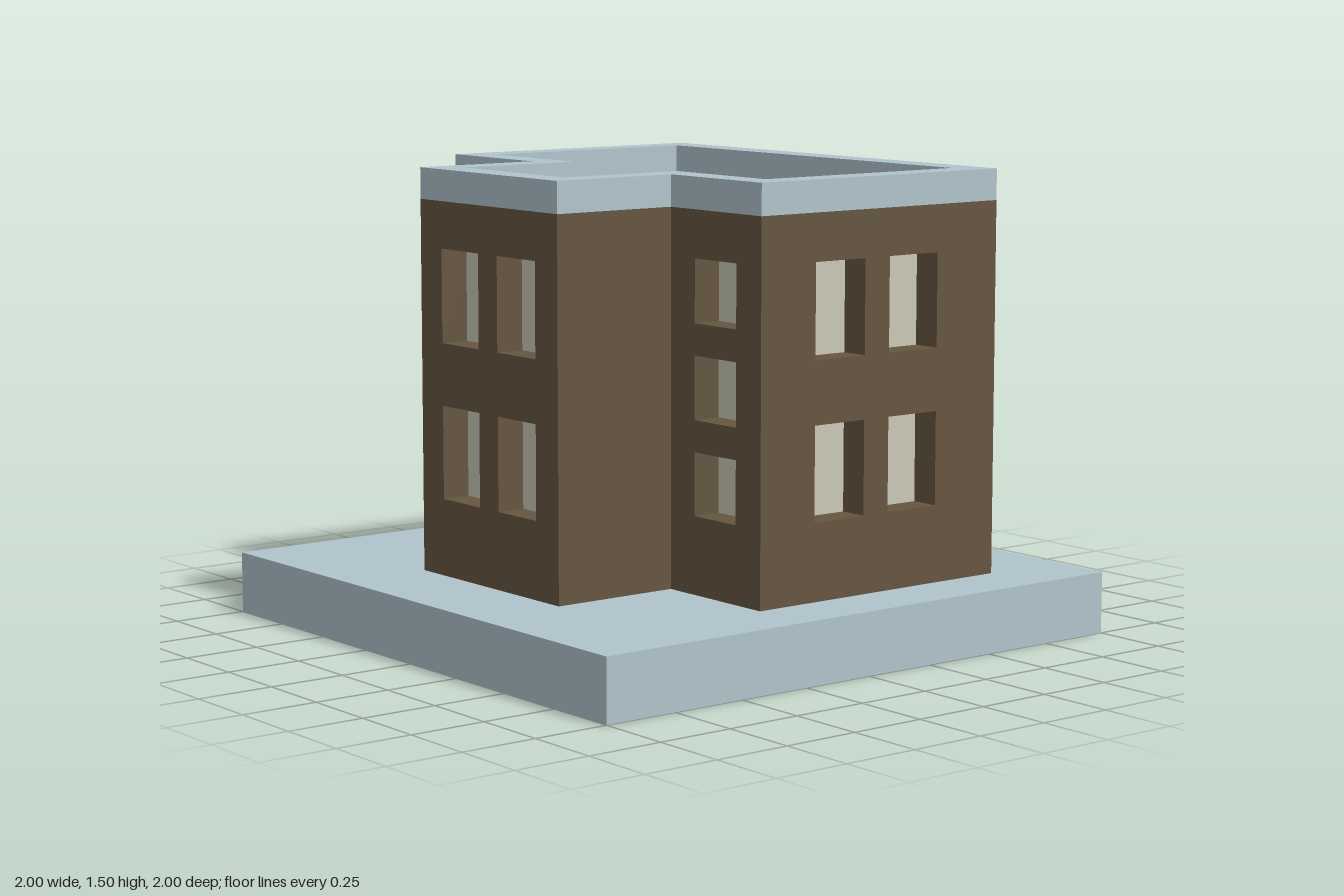
import * as THREE from 'three';

const material = (name, color, side = THREE.FrontSide) => {
  const m = new THREE.MeshStandardMaterial({ color, side });
  m.name = name;
  return m;
};

const WALL = 0.1, FLOOR = 0.202, EAVES = 1.4, TOP = 1.5;

// T-shaped plan, moved inwards by inset; shape y is -z
function planPoints(inset) {
  const w = 0.8 - inset, back = 0.7 - inset, notch = -0.265 + inset;
  const bx = 0.365 - inset, front = -0.7 + inset;
  return [[-w, back], [-w, notch], [-bx, notch], [-bx, front], [bx, front], [bx, notch], [w, notch], [w, back]]
    .map(([x, y]) => new THREE.Vector2(x, y));
}

// Flat extrusion of a plan shape, standing on height y
function slab(shape, height, y) {
  return new THREE.ExtrudeGeometry(shape, { depth: height, bevelEnabled: false })
    .rotateX(-Math.PI / 2).translate(0, y, 0);
}

export function createModel() {
  const model = new THREE.Group();
  model.name = 'building';
  const stone = material('pale blue stone', 0xb0c4cc, THREE.DoubleSide);
  const brick = material('brown wall', 0x665540);
  const glass = material('cream glass', 0xcbc8b6);
  const roofing = material('grey roof', 0x6a6f78);

  const add = (parent, name, geometry, mat) => {
    const mesh = new THREE.Mesh(geometry, mat);
    mesh.name = name;
    parent.add(mesh);
    return mesh;
  };

  // Hollow base, open underneath
  const base = new THREE.BoxGeometry(2, 0.2, 2).translate(0, 0.1, 0);
  base.setIndex([...base.index.array].filter((_, i) => i < 18 || i >= 24));
  base.clearGroups();
  add(model, 'base', base, stone);

  // Wall with recessed windows: width along local x, outer face at local z = 0
  function wall(name, width, x, z, angle, columns = [], rows = [], rowHeight = 0.3) {
    const group = new THREE.Group();
    group.name = name;
    group.position.set(x, 0, z);
    group.rotation.y = angle;
    const h = width / 2, half = 0.1;
    const shape = new THREE.Shape([[-h, FLOOR], [h, FLOOR], [h, EAVES], [-h, EAVES]]
      .map(([a, b]) => new THREE.Vector2(a, b)));
    for (const cx of columns) for (const y of rows) {
      const l = cx - half, r = cx + half, t = y + rowHeight;
      shape.holes.push(new THREE.Path([[l, y], [l, t], [r, t], [r, y]]
        .map(([a, b]) => new THREE.Vector2(a, b))));
      add(group, 'windowPane', new THREE.BoxGeometry(2 * half, rowHeight, 0.005), glass)
        .position.set(cx, y + rowHeight / 2, -WALL + 0.0025);
    }
    add(group, 'wallPanel', new THREE.ExtrudeGeometry(shape, { depth: WALL, bevelEnabled: false })
      .translate(0, 0, -WALL), brick);
    model.add(group);
  }

  const tall = [0.45, 0.95], small = [0.45, 0.75, 1.05];
  wall('frontWall', 0.73, 0, 0.7, 0, [-0.15, 0.15], tall);
  wall('backWall', 1.6, 0, -0.7, Math.PI, [-0.4, 0, 0.4], tall);
  for (const s of [1, -1]) {
    const side = s > 0 ? 'left' : 'right';
    const turn = s * Math.PI / 2;
    wall(side + 'WingFront', 0.435, s * 0.5825, 0.265, 0, [0], small, 0.2);
    // Side walls fit between the front and back walls
    const mid = (-0.6 + 0.165) / 2;
    wall(side + 'SideWall', 0.765, s * 0.8, mid, turn,
      [-0.35, -0.05].map(z => -s * (z - mid)), tall);
    wall(side + 'BayWall', 0.435, s * 0.365, (0.165 + 0.6) / 2, turn);
  }

  // Parapet ring and sunken roof
  const ring = new THREE.Shape(planPoints(0));
  ring.holes.push(new THREE.Path(planPoints(WALL).reverse()));
  add(model, 'parapet', slab(ring, TOP - EAVES, EAVES), stone);
  add(model, 'roof', slab(new THREE.Shape(planPoints(WALL)), 0.01, EAVES - 0.01), roofing);

  return model;
}
